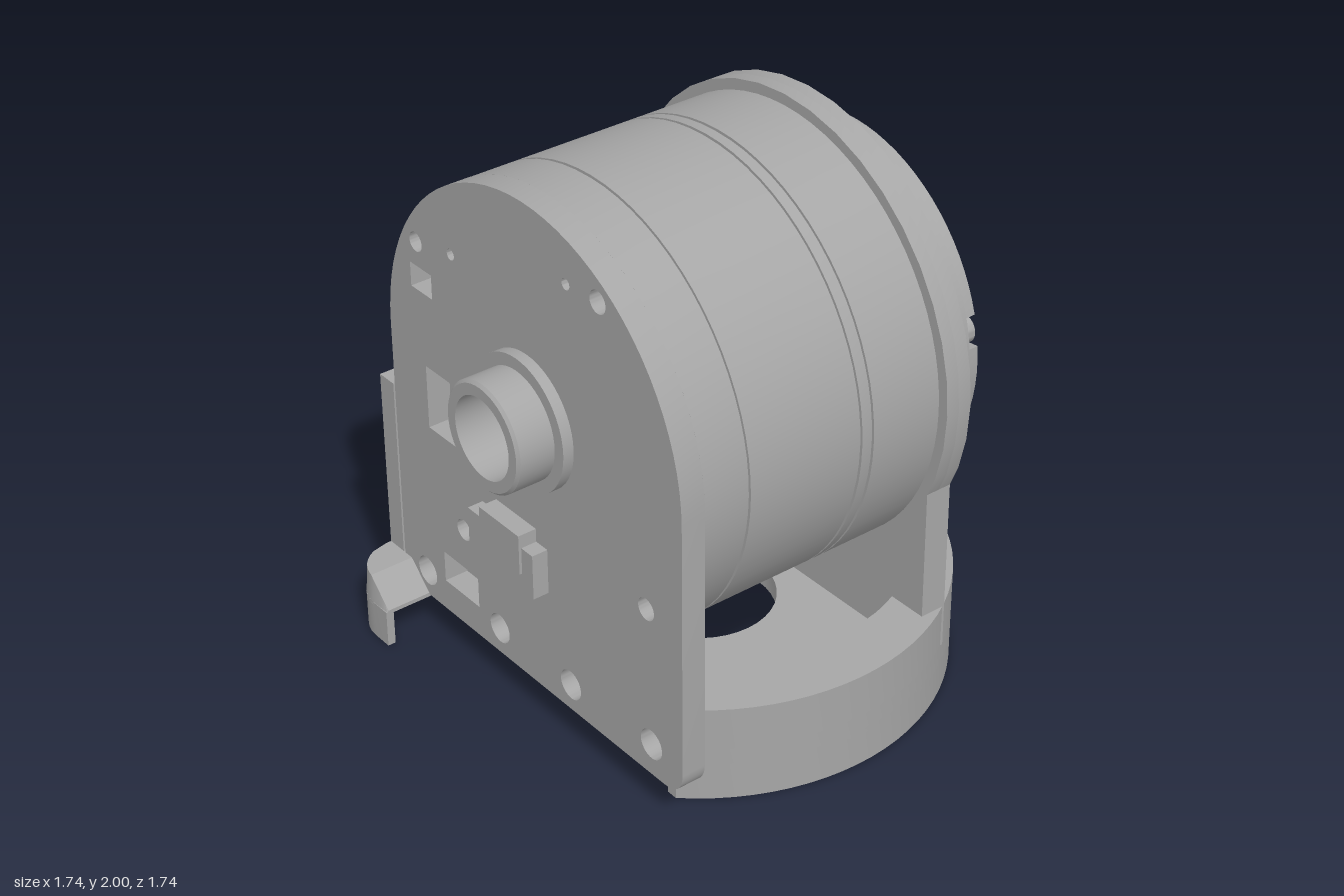
import * as THREE from 'three';
import { toCreasedNormals } from 'three/addons/utils/BufferGeometryUtils.js';

const AXIS_Y = 1.18;
const TAU = Math.PI * 2;

export function createModel() {
  const model = new THREE.Group();
  const metal = new THREE.MeshStandardMaterial({ color: 0xa6a6a6 });
  metal.name = 'machinedGrey';

  const add = (name, geo, x = 0, y = 0, z = 0) => {
    const mesh = new THREE.Mesh(toCreasedNormals(geo, 0.5), metal);
    mesh.name = name;
    mesh.position.set(x, y, z);
    model.add(mesh);
    return mesh;
  };
  const box = (name, x0, x1, y0, y1, z0, z1) =>
    add(name, new THREE.BoxGeometry(x1 - x0, y1 - y0, z1 - z0), (x0 + x1) / 2, (y0 + y1) / 2, (z0 + z1) / 2);
  // Turned part on the motor axis; profile pairs are [x, radius]
  const turned = (name, profile, segments = 72) => {
    const geo = new THREE.LatheGeometry(profile.map(([x, r]) => new THREE.Vector2(r, x)), segments);
    add(name, geo.rotateZ(-Math.PI / 2), 0, AXIS_Y, 0);
  };
  const circlePath = (u, v, r) => new THREE.Path().absarc(u, v, r, 0, TAU, true);
  // Plate across the motor axis; shape is drawn in (-z, y)
  const crossPlate = (name, shape, x0, x1, y = AXIS_Y) =>
    add(name, new THREE.ExtrudeGeometry(shape, { depth: x1 - x0, bevelEnabled: false, curveSegments: 20 })
      .rotateY(Math.PI / 2), x0, y, 0);
  // Flat plate seen in plan; shape is drawn in (x, -z)
  const planPlate = (name, shape, y0, y1) =>
    add(name, new THREE.ExtrudeGeometry(shape, { depth: y1 - y0, bevelEnabled: false, curveSegments: 20 })
      .rotateX(-Math.PI / 2), 0, y0, 0);
  const ring = (n, r, offset = 0) => Array.from({ length: n }, (_, i) => {
    const a = (i / n) * TAU + offset;
    return [r * Math.sin(a), r * Math.cos(a)];
  });
  // Solid through equal-length loops, each counter-clockwise seen from +z
  const loft = (name, sections) => {
    const n = sections[0].length, idx = [];
    const cap = THREE.ShapeUtils.triangulateShape(sections.at(-1).map(p => new THREE.Vector2(p[0], p[1])), []);
    const last = (sections.length - 1) * n;
    for (let s = 0; s < sections.length - 1; s++) for (let i = 0; i < n; i++) {
      const a = s * n + i, b = s * n + (i + 1) % n;
      idx.push(a, b, b + n, a, b + n, a + n);
    }
    for (const [a, b, c] of cap) idx.push(last + a, last + b, last + c);
    const first = THREE.ShapeUtils.triangulateShape(sections[0].map(p => new THREE.Vector2(p[0], p[1])), []);
    for (const [a, b, c] of first) idx.push(c, b, a);
    const geo = new THREE.BufferGeometry();
    geo.setAttribute('position', new THREE.Float32BufferAttribute(sections.flat(2), 3));
    geo.setIndex(idx);
    add(name, geo);
  };

  // Motor body with shallow grooves and a through bore
  const body = [[-0.6, 0.15], [-0.6, 0.78]];
  for (const x of [-0.428, 0.022, 0.07])
    body.push([x - 0.006, 0.78], [x - 0.006, 0.77], [x + 0.006, 0.77], [x + 0.006, 0.78]);
  body.push([0.35, 0.78], [0.35, 0.15], [-0.6, 0.15]);
  turned('motorBody', body);

  // Cable tube and its collar
  turned('cableTube', [[-0.87, 0.145], [-0.87, 0.185], [-0.86, 0.195], [-0.73, 0.195], [-0.73, 0.24],
    [-0.69, 0.24], [-0.59, 0.24], [-0.59, 0.145], [-0.87, 0.145]], 48);

  // End plate: round top, straight sides, drilled
  const end = new THREE.Shape();
  end.moveTo(-0.68, 0.14);
  end.lineTo(0.78, 0.14);
  end.lineTo(0.78, AXIS_Y);
  end.absarc(0, AXIS_Y, 0.78, 0, Math.PI, false);
  end.lineTo(-0.78, 0.24);
  end.quadraticCurveTo(-0.78, 0.14, -0.68, 0.14);
  end.holes.push(circlePath(0, AXIS_Y, 0.2));
  const endHoles = [[0.38, 1.78, 0.04], [0.22, 1.77, 0.02], [0.6, 0.78, 0.04], [-0.4, 1.6, 0.02],
    [-0.6, 1.56, 0.035], [-0.4, 0.54, 0.04], [-0.64, 0.24, 0.055], [-0.21, 0.24, 0.055],
    [0.19, 0.24, 0.055], [0.62, 0.26, 0.055]];
  for (const [z, y, r] of endHoles) end.holes.push(circlePath(-z, y, r));
  const windows = [[-0.64, -0.52, 1.38, 1.47], [-0.58, -0.42, 0.86, 1.1], [-0.53, -0.33, 0.26, 0.38]];
  for (const [z0, z1, y0, y1] of windows)
    end.holes.push(new THREE.Path([[-z0, y0], [-z0, y1], [-z1, y1], [-z1, y0]].map(p => new THREE.Vector2(...p))));
  crossPlate('endPlate', end, -0.69, -0.6, 0);

  // Plug on the end plate
  box('plugBody', -0.75, -0.69, 0.55, 0.72, -0.28, 0.08);
  box('plugTop', -0.76, -0.69, 0.62, 0.77, -0.2, 0.02);

  // Mounting flange, with wide counterbores over narrow holes
  for (const [x0, x1, r] of [[0.35, 0.4, 0.026], [0.4, 0.45, 0.046]]) {
    const flange = new THREE.Shape().absarc(0, 0, 0.82, 0, TAU, false);
    flange.holes.push(circlePath(0, 0, 0.5));
    for (const [u, v] of ring(16, 0.735, TAU / 32)) flange.holes.push(circlePath(u, v, r));
    crossPlate('mountingFlange', flange, x0, x1);
  }
  // Pedestal under the flange, cut to follow its edge
  const pedestal = new THREE.Shape();
  pedestal.moveTo(-0.75, 0.2);
  pedestal.lineTo(0.75, 0.2);
  pedestal.lineTo(0.75, 0.85);
  pedestal.absarc(0, AXIS_Y, 0.815, -0.414, -Math.PI + 0.414, true);
  crossPlate('flangePedestal', pedestal, 0.35, 0.45, 0);

  // Output hub and its drilled, notched face
  turned('outputHub', [[0.34, 0.145], [0.34, 0.64], [0.466, 0.64], [0.466, 0.655], [0.6, 0.655], [0.6, 0.145], [0.34, 0.145]]);
  const notchAt = 11.25 / 180 * Math.PI;
  const facePoints = [];
  for (let i = 0; i < 4; i++) {
    const mid = notchAt + i * TAU / 4, half = 0.085;
    facePoints.push([mid - half, 0.65], [mid - half, 0.54], [mid + half, 0.54]);
    for (let k = 0; k <= 18; k++) facePoints.push([mid + half + (TAU / 4 - 2 * half) * k / 18, 0.65]);
  }
  const face = new THREE.Shape(facePoints.map(([a, r]) => new THREE.Vector2(r * Math.sin(a), r * Math.cos(a))));
  face.holes.push(circlePath(0, 0, 0.145));
  const bolts = ring(16, 0.6);
  for (const [u, v] of bolts) face.holes.push(circlePath(u, v, 0.042));
  crossPlate('outputFace', face, 0.6, 0.64);
  // Socket-head bolts
  const bolt = (name, u, v, r, x1) => {
    const head = new THREE.Shape().absarc(0, 0, r, 0, TAU, false);
    head.holes.push(circlePath(0, 0, r * 0.5));
    crossPlate(name, head, 0.595, x1, AXIS_Y + v).position.z = -u;
  };
  for (const [u, v] of bolts) bolt('outputBolt', u, v, 0.034, 0.63);
  for (const [u, v] of ring(4, 0.597, notchAt)) bolt('clampBolt', u, v, 0.05, 0.636);

  // Base outline in (x, -z): round front, straight right side, rounded rear corner
  const outline = (d, withLip) => {
    const R = 0.87 - d, c = 0.15 - d, pts = [];
    const arc = (cx, cy, r, a0, a1, n) => {
      for (let i = 0; i <= n; i++) {
        const a = a0 + (a1 - a0) * i / n;
        pts.push(new THREE.Vector2(cx + r * Math.cos(a), cy + r * Math.sin(a)));
      }
    };
    arc(0, 0, R, -Math.PI + Math.acos(0.6 / R), 0, 32);
    arc(0.72, 0.72, c, 0, Math.PI / 2, 8);
    if (withLip) {
      arc(-0.72, 0.72, c, Math.PI / 2, Math.PI, 8);
      pts.push(new THREE.Vector2(-R, 0.64));
    } else pts.push(new THREE.Vector2(-0.6, R));
    return pts;
  };
  planPlate('baseSkirt', new THREE.Shape([...outline(0, true), ...outline(0.03, true).reverse()]), 0, 0.14);
  const floor = new THREE.Shape(outline(0, false));
  floor.holes.push(circlePath(0, 0, 0.27));
  for (const [u, v] of ring(12, 0.55, 0.26)) floor.holes.push(circlePath(u, v, 0.022));
  planPlate('baseFloor', floor, 0.12, 0.2);
  const rim = new THREE.Shape(outline(0, false));
  const pocket = new THREE.Path();
  pocket.moveTo(-0.58, 0.79);
  pocket.lineTo(0.35, 0.79);
  pocket.lineTo(0.35, -0.6);
  pocket.quadraticCurveTo(0, -0.76, -0.58, -0.42);
  rim.holes.push(pocket);
  planPlate('baseRim', rim, 0.2, 0.36);
  box('floorConnector', -0.55, -0.35, 0.2, 0.27, 0.28, 0.42);

  // Rear wall
  box('rearWall', -0.69, 0.6, 0.1, 0.93, -0.87, -0.79);

  // Swept corner fin: cradle cut on top, concave flare outside
  const flare = [[0.36, 0.87], [0.42, 0.8], [0.5, 0.73], [0.62, 0.67], [0.78, 0.63], [0.93, 0.6]];
  const lerpTable = (t, from, to, v) => {
    let i = 0;
    while (i < t.length - 2 && (t[i + 1][from] - v) * (t[i][from] - v) > 0) i++;
    const f = (v - t[i][from]) / (t[i + 1][from] - t[i][from]);
    return t[i][to] + f * (t[i + 1][to] - t[i][to]);
  };
  const sideX = z => z > -0.72 ? 0.87 : 0.72 + Math.sqrt(Math.max(0, 0.15 ** 2 - (z + 0.72) ** 2));
  const finSections = [];
  for (let k = 0; k <= 36; k++) {
    const z = -0.87 + 0.87 * (k / 36) ** 1.3;
    const top = z < -0.78 ? 0.93 : AXIS_Y - Math.sqrt(0.82 ** 2 - z * z) + 0.002;
    const xm = sideX(z), low = Math.min(top, lerpTable(flare, 0 + 1, 0, xm));
    const loop = [[0.45, 0.3, z], [xm, 0.3, z]];
    for (let i = 0; i <= 10; i++) {
      const y = low + (top - low) * i / 10;
      loop.push([lerpTable(flare, 0, 1, y), y, z]);
    }
    loop.push([0.45, top, z]);
    finSections.push(loop);
  }
  loft('cornerFin', finSections);

  // Lip at the rear left corner, sloping down to the front
  const lipSections = [];
  for (let k = 0; k <= 16; k++) {
    const z = -0.87 + 0.23 * k / 16, x = -sideX(z);
    const top = 0.24 - Math.max(0, z + 0.74) * 0.95;
    lipSections.push([[x, 0.13, z], [-0.66, 0.13, z], [-0.66, top, z], [x + 0.01, top, z]]);
  }
  loft('rearLip', lipSections);

  return model;
}
